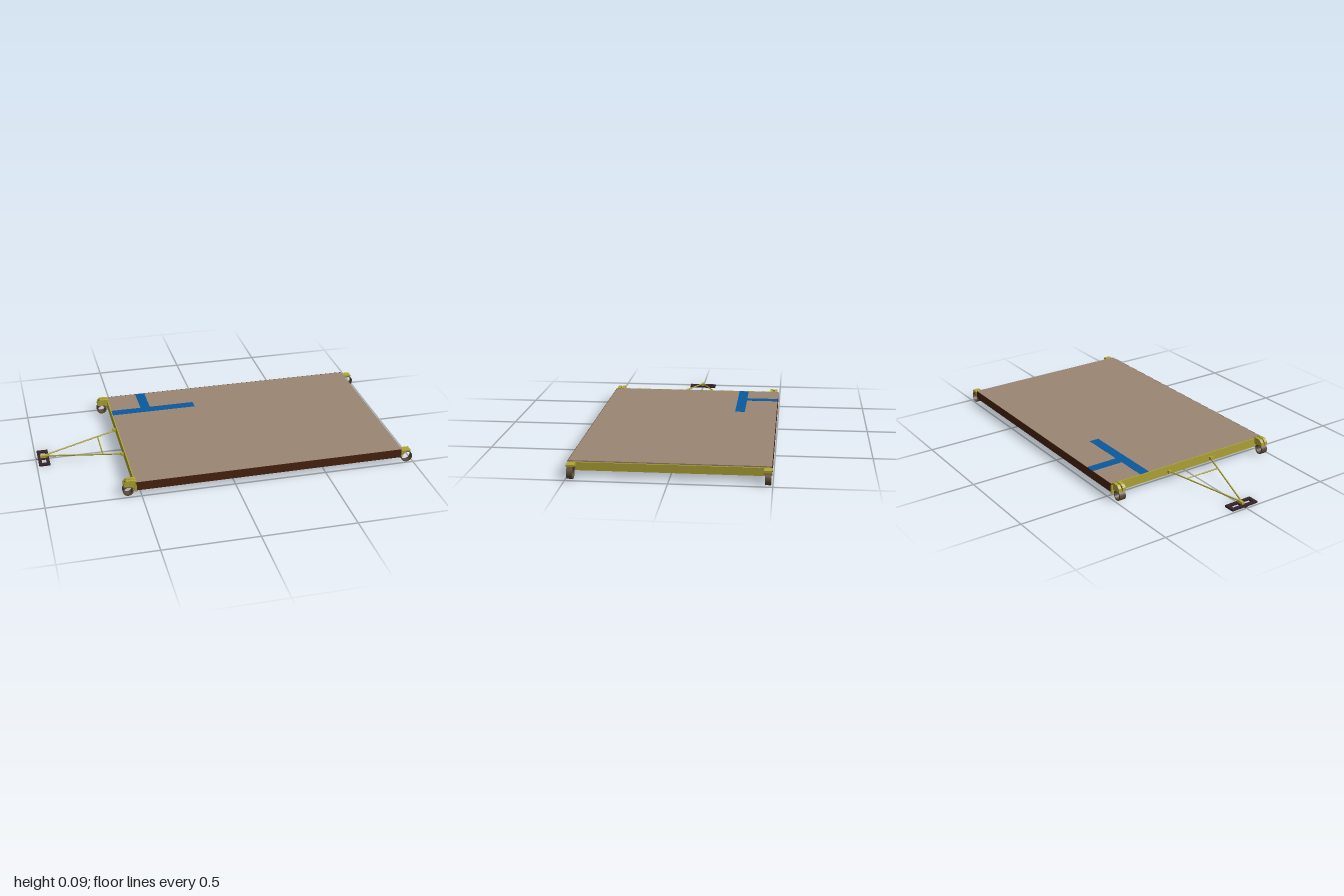
import * as THREE from 'three';

const mat = (name, color, side = THREE.FrontSide) => {
  const m = new THREE.MeshStandardMaterial({ color, side });
  m.name = name;
  return m;
};

export function createModel() {
  const root = new THREE.Group();
  root.name = 'flatbedDolly';
  const tan = mat('deckTan', 0x9a8673);
  const brown = mat('sideBrown', 0x4a2410);
  const yellow = mat('frameYellow', 0xb0a536);
  const blue = mat('markingBlue', 0x0b5a9e);
  const rubber = mat('wheelBrown', 0x5c4b38);
  const dark = mat('hitchDark', 0x35232a);

  const add = (name, geo, material, parent = root) => {
    const m = new THREE.Mesh(geo, material);
    m.name = name;
    parent.add(m);
    return m;
  };
  // Box given by its minimum and maximum on each axis
  const box = (name, material, x0, x1, y0, y1, z0, z1, parent) => {
    const m = add(name, new THREE.BoxGeometry(x1 - x0, y1 - y0, z1 - z0), material, parent);
    m.position.set((x0 + x1) / 2, (y0 + y1) / 2, (z0 + z1) / 2);
    return m;
  };
  // Side profile extruded across a z range
  const profile = (name, material, pts, z0, z1, parent) => {
    const shape = new THREE.Shape(pts.map(p => new THREE.Vector2(...p)));
    const g = new THREE.ExtrudeGeometry(shape, { depth: z1 - z0, bevelEnabled: false });
    g.translate(0, 0, z0);
    return add(name, g, material, parent);
  };
  const rod = (name, a, b, r, parent) => {
    const va = new THREE.Vector3(...a), vb = new THREE.Vector3(...b);
    const d = vb.clone().sub(va);
    const m = add(name, new THREE.CylinderGeometry(r, r, d.length(), 8), yellow, parent);
    m.position.copy(va).add(vb).multiplyScalar(0.5);
    m.quaternion.setFromUnitVectors(new THREE.Vector3(0, 1, 0), d.normalize());
    return m;
  };
  // Hollow tyre with its axle along z
  const wheel = (name, x, y, z, outer, inner, width, parent) => {
    const shape = new THREE.Shape().absarc(0, 0, outer, 0, Math.PI * 2);
    shape.holes.push(new THREE.Path().absarc(0, 0, inner, 0, Math.PI * 2, true));
    const g = new THREE.ExtrudeGeometry(shape, { depth: width, bevelEnabled: false, curveSegments: 20 });
    g.translate(0, 0, -width / 2);
    add(name, g, rubber, parent).position.set(x, y, z);
  };

  // Deck and its painted T marking, which shows on both faces
  const X0 = -0.53, X1 = 0.93;
  box('deck', tan, X0, X1 + 0.003, 0.078, 0.084, -0.494, 0.494);
  box('markingLong', blue, X0, -0.05, 0.0775, 0.0845, -0.315, -0.26);
  box('markingShort', blue, -0.36, -0.305, 0.0775, 0.0845, -0.494, -0.315);

  // Side skirts with tan inner lips, and end beams
  for (const s of [-1, 1]) {
    const z = s * 0.493;
    box('sideSkirt', brown, X0, X1, 0.036, 0.0838, z - 0.003, z + 0.003);
    const zi = s * 0.487;
    box('innerLip', tan, X0, X1, 0.058, 0.079, zi - 0.003, zi + 0.003);
  }
  box('endBeam', yellow, X1 - 0.006, X1 + 0.005, 0.035, 0.076, -0.485, 0.485);
  box('hitchBeam', yellow, X0 - 0.005, X0 + 0.006, 0.035, 0.078, -0.485, 0.485);
  box('hitchBeamTop', yellow, X0 - 0.005, X0 + 0.001, 0.078, 0.0845, -0.485, 0.485);

  // Corner castors
  for (const s of [-1, 1]) {
    const far = new THREE.Group();
    far.name = 'farCastor';
    root.add(far);
    const zc = s * 0.477;
    const cheek = [[0.93, 0.036], [0.937, 0.045], [0.943, 0.058], [0.962, 0.067], [0.982, 0.065], [0.982, 0.076], [0.93, 0.076]];
    profile('castorBracket', yellow, cheek, zc - 0.02, zc + 0.02, far);
    wheel('castorWheel', 0.966, 0.033, zc, 0.031, 0.0275, 0.03, far);

    const near = new THREE.Group();
    near.name = 'hitchCastor';
    root.add(near);
    const zn = s * 0.468;
    const fork = [[-0.592, 0.058], [-0.525, 0.052], [-0.525, 0.086], [-0.545, 0.092], [-0.575, 0.09], [-0.59, 0.076]];
    for (const d of [-0.012, 0.012])
      profile('castorFork', yellow, fork, zn + d - 0.009, zn + d + 0.009, near);
    box('castorBolt', dark, -0.585, -0.535, 0.065, 0.082, zn - 0.004, zn + 0.004, near);
    wheel('castorWheel', -0.568, 0.031, zn, 0.028, 0.021, 0.036, near);
    box('cornerMount', yellow, -0.537, -0.525, 0.03, 0.075, Math.min(s * 0.455, s * 0.497), Math.max(s * 0.455, s * 0.497), near);
  }

  // Triangular drawbar
  const hitch = new THREE.Group();
  hitch.name = 'drawbar';
  root.add(hitch);
  for (const s of [-1, 1]) {
    rod('drawbarArm', [-0.535, 0.054, s * 0.137], [-0.95, 0.022, s * 0.004], 0.004, hitch);
    box('drawbarHinge', yellow, -0.55, -0.53, 0.046, 0.062, s * 0.138 - 0.009, s * 0.138 + 0.009, hitch);
  }
  rod('drawbarCrossbar', [-0.643, 0.046, -0.102], [-0.643, 0.046, 0.102], 0.0035, hitch);
  box('drawbarTip', yellow, -0.975, -0.935, 0.011, 0.024, -0.008, 0.008, hitch);

  // Slotted foot plate and pull ring
  box('footPlateEdge', dark, -0.988, -0.97, 0.002, 0.012, -0.08, 0.08, hitch);
  box('footPlateEdge', dark, -0.945, -0.928, 0.002, 0.012, -0.08, 0.08, hitch);
  for (const s of [-1, 1])
    box('footPlateEnd', dark, -0.97, -0.945, 0.002, 0.012, s * 0.07 - 0.01, s * 0.07 + 0.01, hitch);
  box('footPlateBridge', dark, -0.97, -0.945, 0.002, 0.011, -0.012, 0.012, hitch);
  const ring = add('pullRing', new THREE.TorusGeometry(0.01, 0.0015, 6, 16), dark, hitch);
  ring.rotation.x = Math.PI / 2;
  ring.position.set(-0.988, 0.006, 0);

  return root;
}
